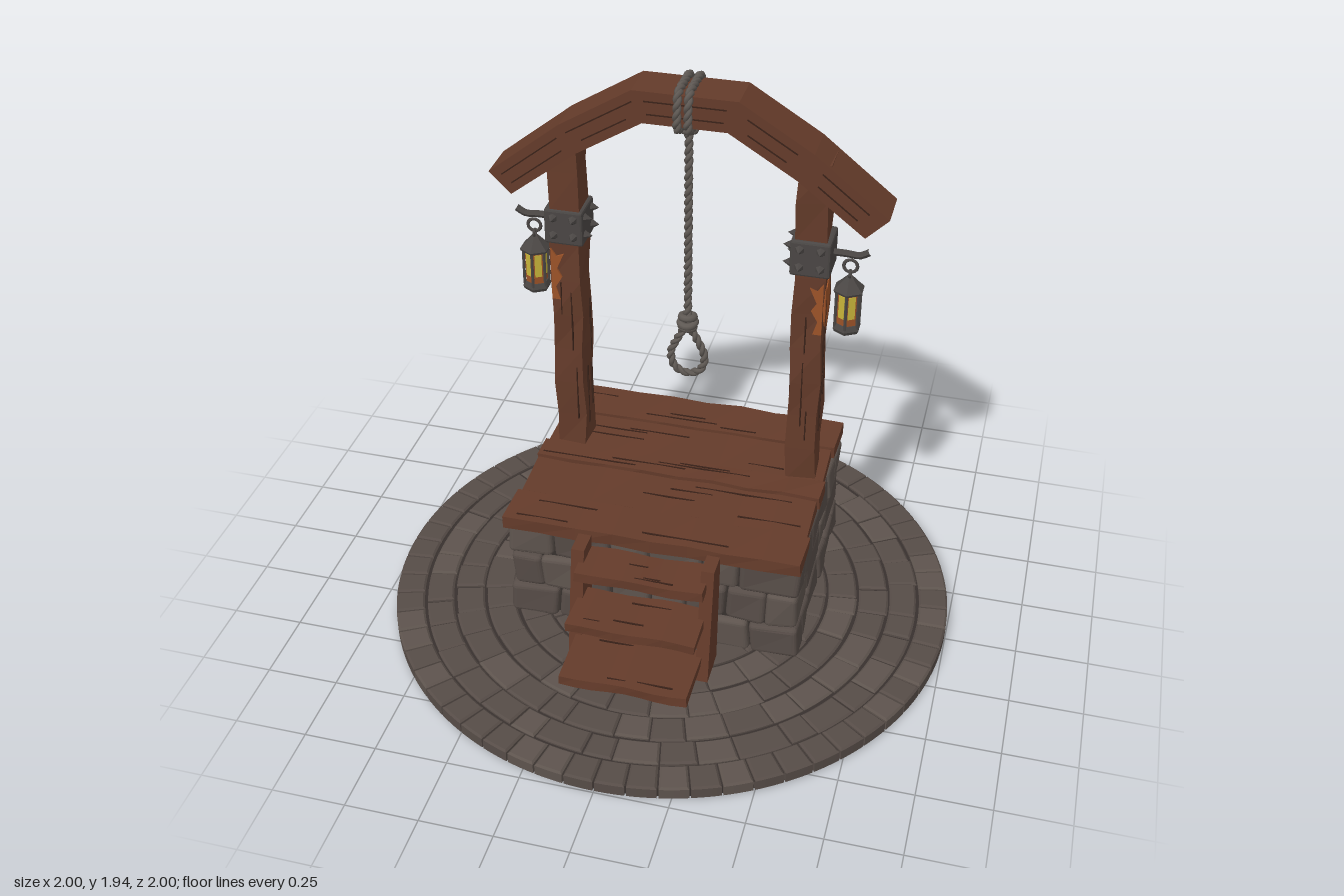
import * as THREE from 'three';
import { mergeGeometries } from 'three/addons/utils/BufferGeometryUtils.js';
import { RoundedBoxGeometry } from 'three/addons/geometries/RoundedBoxGeometry.js';

const mat = (name, color) => Object.assign(new THREE.MeshStandardMaterial({ color }), { name });
const POST_Z = -0.23;

export function createModel() {
  const wood = mat('wood', 0x643b2a), darkWood = mat('dark wood grain', 0x3a2219);
  const stone = mat('stone', 0x564c47), paleStone = mat('pale stone', 0x5d534d);
  const mortar = mat('mortar', 0x38312e), iron = mat('iron', 0x4a4644);
  const rope = mat('rope', 0x5f5954), flame = mat('flame yellow', 0xc8b53a);
  const glow = mat('amber glow', 0x9c5228);

  const model = new THREE.Group();
  model.name = 'stonePlatform';
  let seed = 7;
  const rnd = (a = 0, b = 1) => {
    seed = (seed * 16807) % 2147483647;
    return a + (b - a) * seed / 2147483647;
  };
  const add = (name, geo, material, parent = model) => {
    const m = new THREE.Mesh(geo, material);
    m.name = name;
    parent.add(m);
    return m;
  };
  const faceted = g => {
    const f = g.index ? g.toNonIndexed() : g;
    f.computeVertexNormals();
    return f;
  };
  const merge = list => mergeGeometries(list.map(faceted));
  // Position-based wobble, so coincident corners stay together
  const wobble = (g, a) => {
    const p = g.attributes.position;
    for (let i = 0; i < p.count; i++) {
      const x = p.getX(i), y = p.getY(i), z = p.getZ(i);
      p.setXYZ(i, x + a * Math.sin(31 * y + 17 * z + 5 * x), y + a * Math.sin(23 * x + 29 * z + 1),
        z + a * Math.sin(19 * x + 27 * y + 2));
    }
    return g;
  };
  const box = (x0, x1, y0, y1, z0, z1, sx = 1, sy = 1) =>
    new THREE.BoxGeometry(x1 - x0, y1 - y0, z1 - z0, sx, sy, 1)
      .translate((x0 + x1) / 2, (y0 + y1) / 2, (z0 + z1) / 2);

  // Paved disc: mortar bed, full-height kerb and rings of cobbles
  add('discBed', new THREE.CylinderGeometry(0.985, 0.985, 0.036, 72).translate(0, 0.019, 0), mortar);
  const cobble = (r0, r1, a0, a1, bottom, top) => {
    const s = new THREE.Shape();
    s.absarc(0, 0, r1, a0, a1, false);
    s.absarc(0, 0, r0, a1, a0, true);
    const b = 0.006;
    return new THREE.ExtrudeGeometry(s, { depth: top - bottom - 2 * b, bevelThickness: b, bevelSize: 0.007,
      bevelOffset: -0.007, bevelSegments: 1, curveSegments: 3 }).rotateX(-Math.PI / 2).translate(0, bottom + b, 0);
  };
  const radii = [1, 0.895, 0.79, 0.68, 0.57, 0.46, 0.36, 0.27];
  const cobbles = [[], []];
  for (let i = 0; i < radii.length - 1; i++) {
    const n = Math.round(2 * Math.PI * radii[i] / (i ? 0.14 : 0.105));
    const step = 2 * Math.PI / n, cuts = [];
    for (let k = 0; k < n; k++) cuts.push((k + (i ? rnd(-0.18, 0.18) : 0)) * step + i);
    for (let k = 0; k < n; k++) {
      const end = k < n - 1 ? cuts[k + 1] : cuts[0] + 2 * Math.PI;
      const inset = i ? rnd(0, 0.008) : 0;
      cobbles[rnd() < 0.3 ? 1 : 0].push(cobble(radii[i + 1] + 0.002, radii[i] - 0.002 - inset,
        cuts[k] + 0.003, end - 0.003, i ? 0.025 : 0, i ? rnd(0.044, 0.051) : 0.05));
    }
  }
  add('cobbles', merge(cobbles[0]), stone);
  add('paleCobbles', merge(cobbles[1]), paleStone);

  // Plinth: mortar core with three courses of rounded blocks
  add('plinthCore', box(-0.485, 0.485, 0.04, 0.44, -0.475, 0.255), mortar);
  const blocks = [[], []];
  [[0.04, 0.165, 0.52, 0.395], [0.17, 0.305, 0.512, 0.392], [0.31, 0.44, 0.52, 0.392]].forEach(([y0, y1, hx, hz], c) => {
    for (let side = 0; side < 4; side++) {
      const alongX = side % 2 === 0, full = alongX === (c % 2 === 0);
      const half = (alongX ? hx : hz) - (full ? 0 : 0.11), n = alongX ? 6 : 4;
      const cuts = [];
      for (let k = 0; k <= n; k++) cuts.push(-half + 2 * half * (k + (k % n ? rnd(-0.25, 0.25) : 0)) / n);
      for (let k = 0; k < n; k++) {
        const g = new RoundedBoxGeometry(cuts[k + 1] - cuts[k] - 0.005, y1 - y0, 0.11, 2, 0.018);
        g.translate((cuts[k] + cuts[k + 1]) / 2, (y0 + y1) / 2, (alongX ? hz : hx) - 0.055 - rnd(0, 0.008));
        g.rotateY(side * Math.PI / 2).translate(0, 0, -0.11);
        blocks[rnd() < 0.25 ? 1 : 0].push(wobble(g, 0.004));
      }
    }
  });
  add('plinthBlocks', merge(blocks[0]), stone);
  add('palePlinthBlocks', merge(blocks[1]), paleStone);

  // Deck planks with dark cracks along the grain
  const planks = [], cracks = [];
  const plank = (x0, x1, y0, y1, z0, z1, n) => {
    planks.push(wobble(box(x0, x1, y0, y1, z0, z1, 8), 0.003));
    for (let i = 0; i < n; i++) {
      const l = rnd(0.12, 0.35) * (x1 - x0), x = rnd(x0, x1 - l), z = rnd(z0 + 0.02, z1 - 0.02);
      cracks.push(box(x, x + l, y1 - 0.004, y1 + 0.003, z, z + 0.004));
    }
  };
  [[-0.53, -0.362, 0.515], [-0.355, -0.165, 0.505], [-0.158, -0.062, 0.515], [-0.052, 0.145, 0.508],
    [0.152, 0.31, 0.52]].forEach(([z0, z1, hx], i) => plank(-hx, hx, 0.44, 0.488 - (i % 2) * 0.006, z0, z1, 4));
  add('deckUnderside', box(-0.49, 0.49, 0.435, 0.465, -0.5, 0.28), darkWood);

  // Steps: three treads, sloping stringers and short front feet
  [[0.39, 0.425, 0.31, 0.46], [0.255, 0.288, 0.37, 0.565], [0.105, 0.14, 0.42, 0.66]]
    .forEach(([y0, y1, z0, z1]) => plank(-0.222, 0.222, y0, y1, z0, z1, 3));
  for (const s of [-1, 1]) {
    const side = new THREE.Shape([[-0.395, 0.47], [-0.47, 0.045], [-0.34, 0.045], [-0.305, 0.47]]
      .map(p => new THREE.Vector2(...p)));
    planks.push(new THREE.ExtrudeGeometry(side, { depth: 0.045, bevelEnabled: false })
      .rotateY(Math.PI / 2).translate(s * 0.225 - 0.0225, 0, 0));
    planks.push(box(s * 0.17 - 0.02, s * 0.17 + 0.02, 0.04, 0.11, 0.53, 0.575));
  }

  // Posts with vertical cracks on all faces
  for (const s of [-1, 1]) {
    planks.push(wobble(box(s * 0.42 - 0.052, s * 0.42 + 0.052, 0.47, 1.72, POST_Z - 0.058, POST_Z + 0.058, 1, 9), 0.005));
    for (let i = 0; i < 12; i++) {
      const l = rnd(0.1, 0.3), y = rnd(0.5, 1.25 - l), o = rnd(-0.035, 0.035), d = i % 2 ? 1 : -1;
      cracks.push(i < 6
        ? box(s * 0.42 + o, s * 0.42 + o + 0.004, y, y + l, POST_Z + d * 0.058 - 0.005, POST_Z + d * 0.058 + 0.005)
        : box(s * 0.42 + d * 0.052 - 0.005, s * 0.42 + d * 0.052 + 0.005, y, y + l, POST_Z + o, POST_Z + o + 0.004));
    }
  }

  // Arched top beam
  const outer = [[-0.67, 1.56], [-0.42, 1.76], [-0.175, 1.91], [0.175, 1.91], [0.42, 1.76], [0.67, 1.56]];
  const inner = [[-0.595, 1.485], [-0.37, 1.66], [-0.14, 1.8], [0.14, 1.8], [0.37, 1.66], [0.595, 1.485]];
  const arch = new THREE.Shape([...inner, ...outer.slice().reverse()].map(p => new THREE.Vector2(...p)));
  planks.push(new THREE.ExtrudeGeometry(arch, { depth: 0.152, bevelEnabled: false }).translate(0, 0, -0.308));
  for (let i = 0; i < 5; i++) for (const t of [0.3, 0.7]) for (const z of [-0.308, -0.156]) {
    const [a, b] = [i, i + 1].map(k => new THREE.Vector2(...inner[k]).lerp(new THREE.Vector2(...outer[k]), t));
    cracks.push(new THREE.BoxGeometry(a.distanceTo(b) * rnd(0.5, 0.95), 0.004, 0.006)
      .rotateZ(Math.atan2(b.y - a.y, b.x - a.x)).translate((a.x + b.x) / 2, (a.y + b.y) / 2, z));
  }
  add('woodwork', merge(planks), wood);
  add('woodCracks', merge(cracks), darkWood);

  // Iron collars, spikes, arms and hanging lanterns
  const lanternSide = s => {
    const g = new THREE.Group();
    g.name = s > 0 ? 'leftLantern' : 'rightLantern';
    const parts = [new RoundedBoxGeometry(0.135, 0.13, 0.136, 1, 0.008).translate(s * 0.42, 1.375, POST_Z)];
    for (const y of [1.345, 1.41]) {
      for (const o of [-0.035, 0.035]) for (const d of [-1, 1])
        parts.push(new THREE.ConeGeometry(0.018, 0.03, 6).rotateX(d * Math.PI / 2)
          .translate(s * 0.42 + o, y, POST_Z + d * 0.08));
      for (const o of [-0.04, 0.04])
        parts.push(new THREE.ConeGeometry(0.018, 0.03, 6).rotateZ(s * Math.PI / 2)
          .translate(s * 0.34, y, POST_Z + o));
    }
    const arm = new THREE.CatmullRomCurve3([[0.48, 1.38], [0.53, 1.38], [0.575, 1.378], [0.605, 1.395]]
      .map(([x, y]) => new THREE.Vector3(s * x, y, POST_Z)));
    parts.push(new THREE.TubeGeometry(arm, 8, 0.012, 6));
    const cx = s * 0.545, cyl = (r0, r1, y0, y1, x = cx, z = POST_Z, n = 6) =>
      new THREE.CylinderGeometry(r1, r0, y1 - y0, n).translate(x, (y0 + y1) / 2, z);
    parts.push(new THREE.TorusGeometry(0.023, 0.006, 6, 14).translate(cx, 1.335, POST_Z));
    parts.push(new THREE.TorusGeometry(0.012, 0.005, 6, 10).rotateY(Math.PI / 2).translate(cx, 1.305, POST_Z));
    parts.push(cyl(0.03, 0.01, 1.275, 1.297), cyl(0.055, 0.03, 1.25, 1.275), cyl(0.052, 0.055, 1.242, 1.25),
      cyl(0.045, 0.05, 1.09, 1.102), cyl(0.05, 0.042, 1.102, 1.12));
    const plates = [];
    for (let i = 0; i < 6; i++) {
      const a = i * Math.PI / 3;
      parts.push(cyl(0.0055, 0.0055, 1.11, 1.25, cx + 0.043 * Math.sin(a), POST_Z + 0.043 * Math.cos(a), 5));
      plates.push(new THREE.BoxGeometry(0.024, 0.085, 0.004).translate(0, 1.19, 0.0335)
        .rotateY(a + Math.PI / 6).translate(cx, 0, POST_Z));
    }
    add('lanternIron', merge(parts), iron, g);
    add('lanternGlass', faceted(cyl(0.038, 0.038, 1.115, 1.245)), glow, g);
    add('lanternFlame', merge(plates), flame, g);

    // Ragged amber patches on the post beside the lantern
    const ragged = pts => new THREE.ExtrudeGeometry(new THREE.Shape(pts.map(p => new THREE.Vector2(...p))),
      { depth: 0.008, bevelEnabled: false });
    const edge = [[0.05, 1.09], [0.02, 1.09], [0.035, 1.14], [0.012, 1.18], [0.03, 1.21], [0.004, 1.27], [0.03, 1.26], [0.05, 1.29]];
    const wide = [[-0.04, 1.13], [-0.01, 1.08], [0.02, 1.1], [0.04, 1.14], [0.035, 1.24], [0.01, 1.29], [-0.02, 1.25], [-0.045, 1.26]];
    const faces = edge.map(([x, y]) => [s * x, y]);
    const patches = [0.055, -0.063].map(z => ragged(faces).translate(s * 0.42, 0, POST_Z + z));
    patches.push(ragged(wide).rotateY(s * Math.PI / 2).translate(s * 0.468, 0, POST_Z));
    add('amberPatches', merge(patches), glow, g);
    model.add(g);
  };
  lanternSide(1);
  lanternSide(-1);

  // Twisted rope: two strands winding round a flat path
  const twisted = (path, turns, segs, closed = false) => mergeGeometries([0, Math.PI].map(phase => {
    const pts = [];
    for (let i = 0; i < segs + (closed ? 0 : 1); i++) {
      const u = i / segs, t = path.getTangentAt(u), a = phase + u * turns * 2 * Math.PI;
      const n = new THREE.Vector3(-t.y, t.x, 0).multiplyScalar(Math.cos(a) * 0.006);
      pts.push(path.getPointAt(u).add(n).add(new THREE.Vector3(0, 0, Math.sin(a) * 0.006)));
    }
    return new THREE.TubeGeometry(new THREE.CatmullRomCurve3(pts, closed), segs, 0.0095, 6, closed);
  }));
  const path = (pts, closed) => new THREE.CatmullRomCurve3(pts.map(([x, y]) => new THREE.Vector3(x, y, 0)), closed);
  const ropeGroup = new THREE.Group();
  ropeGroup.name = 'hangingRope';
  ropeGroup.position.set(-0.004, 0, POST_Z);
  model.add(ropeGroup);
  add('ropeLength', twisted(path([[0, 1.8], [0, 1.4], [0, 1.0]]), 13, 130), rope, ropeGroup);
  add('ropeLoop', twisted(path([[0, 1.01], [-0.035, 0.96], [-0.06, 0.895], [-0.045, 0.84], [0, 0.82],
    [0.045, 0.84], [0.06, 0.895], [0.035, 0.96]], true), 8, 80, true), rope, ropeGroup);
  const coils = [[1.76, 0.02], [1.785, 0.021], [1.01, 0.022], [1.03, 0.026], [1.052, 0.022]].map(([y, r], i) =>
    new THREE.TorusGeometry(r, 0.013, 8, 18).rotateX(Math.PI / 2 + (i % 2 ? 0.2 : -0.15)).translate(0, y, 0));
  add('ropeKnots', mergeGeometries(coils), rope, ropeGroup);
  for (const x of [-0.016, 0.02]) {
    const wrap = path([[-0.088, 1.8], [-0.094, 1.86], [-0.08, 1.915], [0, 1.925], [0.08, 1.915],
      [0.094, 1.86], [0.088, 1.8], [0, 1.785]], true);
    add('beamWrap', twisted(wrap, 10, 90, true).rotateY(Math.PI / 2).translate(x, 0, 0), rope, ropeGroup);
  }
  return model;
}
